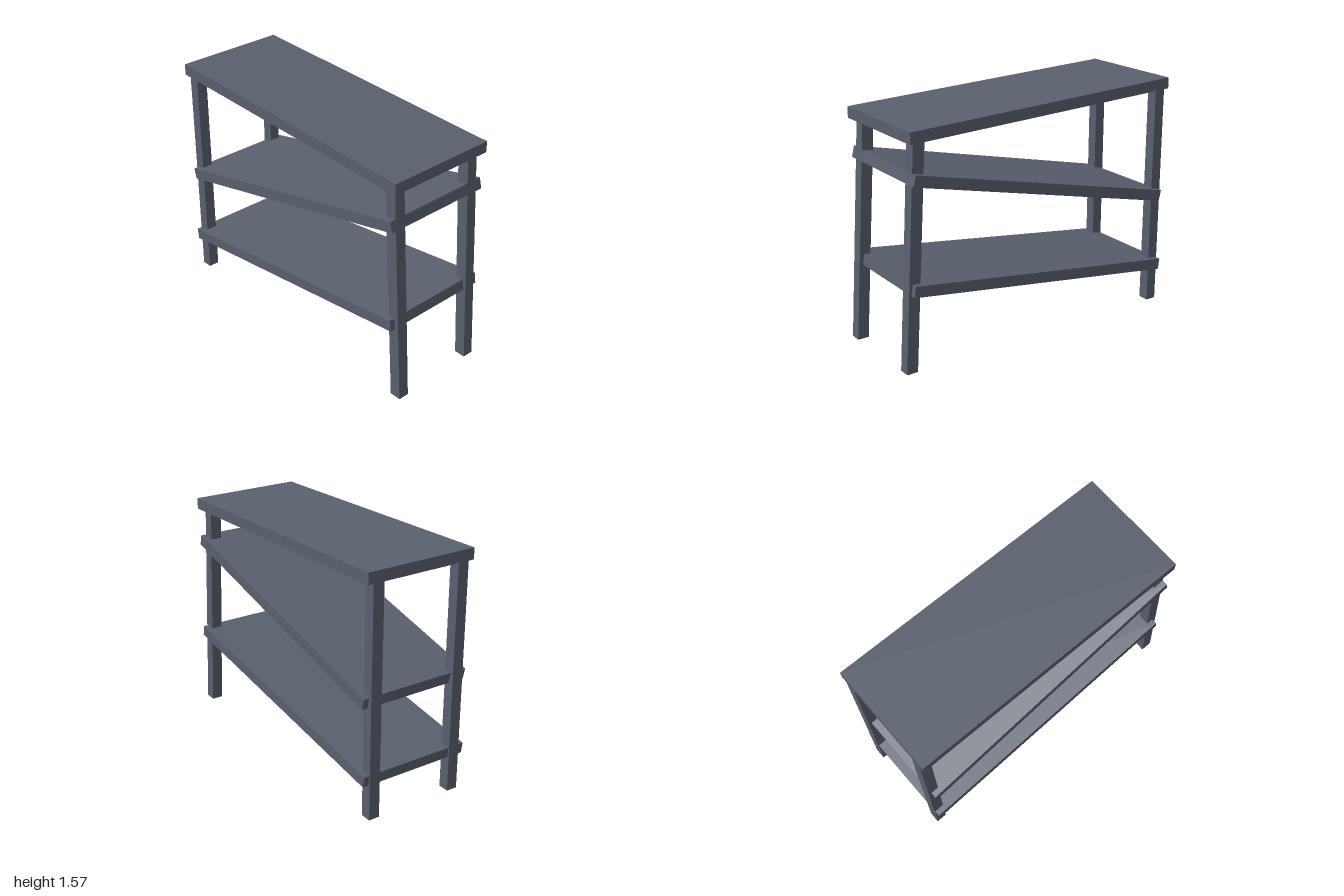
import * as THREE from 'three';

const slate = new THREE.MeshStandardMaterial({ color: 0x59616e });
slate.name = 'slate';

// Extrudes a side profile of [z, y] corners across the width, centred on x
function slab(name, corners, x, width) {
  const shape = new THREE.Shape(corners.map(([z, y]) => new THREE.Vector2(z, y)));
  const geometry = new THREE.ExtrudeGeometry(shape, { depth: width, bevelEnabled: false });
  geometry.translate(0, 0, -width / 2);
  geometry.rotateY(-Math.PI / 2);
  geometry.translate(x, 0, 0);
  const mesh = new THREE.Mesh(geometry, slate);
  mesh.name = name;
  return mesh;
}

export function createModel() {
  const group = new THREE.Group();
  group.name = 'slantedShelf';
  const width = 0.744;

  // Gently sloping top and two tilted shelves
  group.add(
    slab('topBoard', [[0.94, 1.43], [0.94, 1.502], [-1, 1.565], [-1, 1.493]], 0, width),
    slab('upperShelf', [[0.925, 1.18], [0.909, 1.249], [-0.979, 0.799], [-0.963, 0.727]], 0, width),
    slab('lowerShelf', [[0.941, 0.504], [0.93, 0.574], [-0.995, 0.302], [-0.984, 0.23]], 0, width)
  );

  // Leaning front legs, the left foot set slightly further back; upright back legs
  for (const [side, s, foot] of [['left', 1, 0.987], ['right', -1, 1]]) {
    const x = s * 0.298;
    group.add(
      slab(side + 'FrontLeg', [[foot, 0], [0.899, 1.45], [0.823, 1.45], [foot - 0.075, 0]], x, 0.073),
      slab(side + 'BackLeg', [[-0.927, 0], [-0.927, 1.51], [-0.999, 1.51], [-0.999, 0]], x, 0.073)
    );
  }
  return group;
}
